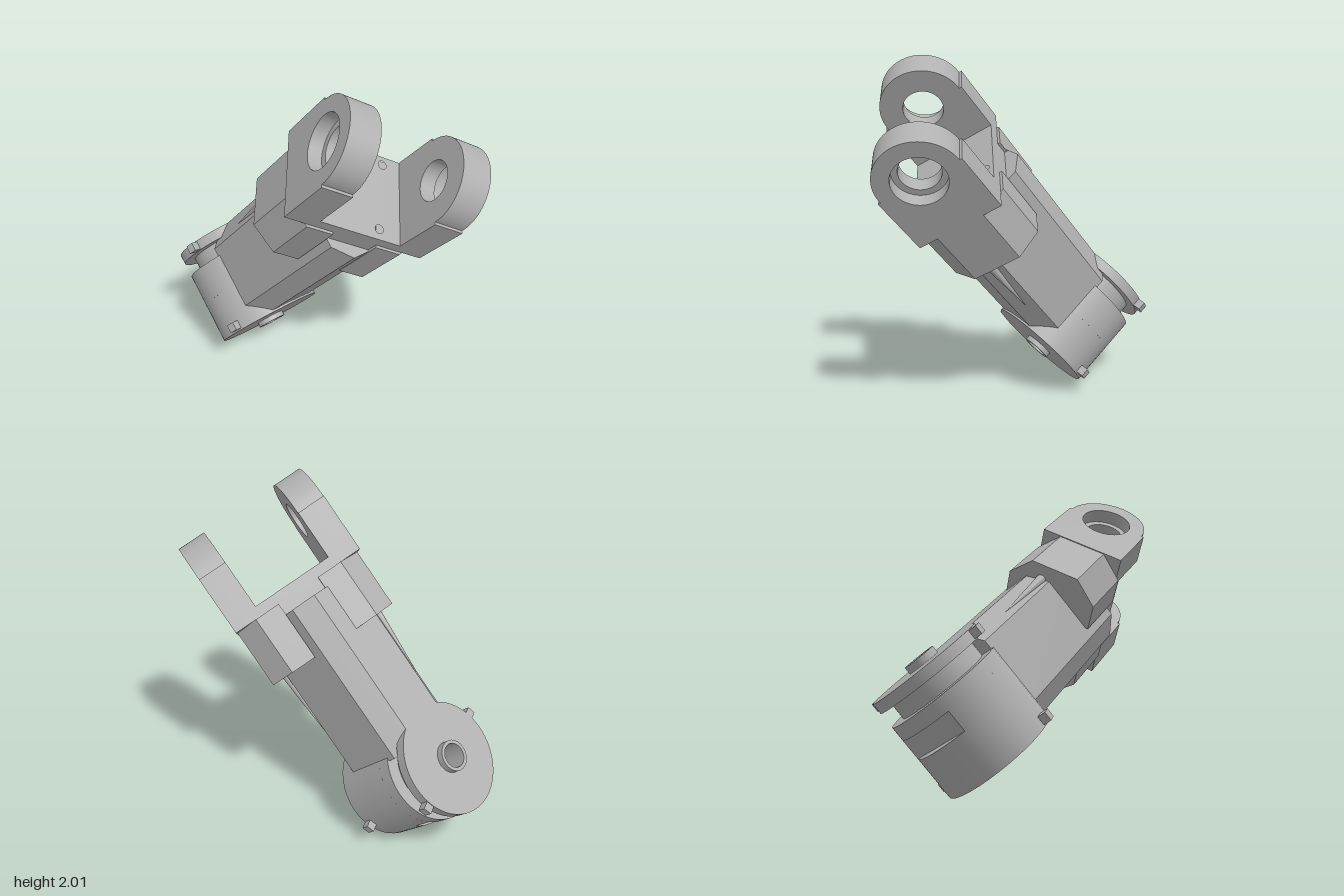
import * as THREE from 'three';
import { toCreasedNormals } from 'three/addons/utils/BufferGeometryUtils.js';

const grey = new THREE.MeshStandardMaterial({ color: 0xb0b0b0 });
grey.name = 'machined grey';

function add(parent, name, geo) {
  const mesh = new THREE.Mesh(toCreasedNormals(geo, 0.5), grey);
  mesh.name = name;
  parent.add(mesh);
  return mesh;
}

function circle(x, y, r) {
  return new THREE.Path().absarc(x, y, r, 0, Math.PI * 2, true);
}

// Vertical prism from an outline of [x, z] points, with optional round holes
function prism(points, y0, y1, holes = []) {
  const shape = new THREE.Shape(points.map(([x, z]) => new THREE.Vector2(x, -z)));
  holes.forEach(([x, z, r]) => shape.holes.push(circle(x, -z, r)));
  return new THREE.ExtrudeGeometry(shape, { depth: y1 - y0, bevelEnabled: false, curveSegments: 16 })
    .rotateX(-Math.PI / 2).translate(0, y0, 0);
}

// One layer of a fork arm, a round-ended plate with a hole, from x0 to x1
function armPlate(x0, x1, hole) {
  const top = 1.58, r = 0.235, half = 0.25, base = 1.23;
  const shape = new THREE.Shape();
  shape.moveTo(-half, base);
  shape.lineTo(half, base);
  shape.lineTo(half, top);
  shape.lineTo(r, top);
  shape.absarc(0, top, r, 0, Math.PI, false);
  shape.lineTo(-half, top);
  shape.closePath();
  shape.holes.push(circle(0, top, hole));
  return new THREE.ExtrudeGeometry(shape, { depth: x1 - x0, bevelEnabled: false, curveSegments: 32 })
    .rotateY(Math.PI / 2).translate(x0, 0, 0);
}

export function createModel() {
  const model = new THREE.Group();
  model.name = 'armLink';

  // Link frame: y runs along the link, z along the lower joint axis
  const link = new THREE.Group();
  link.name = 'link';
  const yAxis = new THREE.Vector3(0.258, 0.74, 0.621).normalize();
  const xAxis = new THREE.Vector3(0.955, -0.096, -0.283);
  xAxis.addScaledVector(yAxis, -xAxis.dot(yAxis)).normalize();
  const zAxis = new THREE.Vector3().crossVectors(xAxis, yAxis);
  link.quaternion.setFromRotationMatrix(new THREE.Matrix4().makeBasis(xAxis, yAxis, zAxis));
  link.position.set(-0.215, 0.237, -0.2);
  model.add(link);

  // Lower joint: drum, grooves, flange, rear disc and hollow bosses
  const R = 0.32;
  const profile = [
    [0, 0.12], [0.065, 0.12], [0.065, -0.03], [0.085, -0.03], [0.085, 0],
    [R, 0], [R, 0.25], [0.25, 0.25], [0.25, 0.37], [R, 0.37], [R, 0.45],
    [0.25, 0.45], [0.25, 0.54], [R, 0.54], [R, 0.6],
    [0.088, 0.6], [0.088, 0.64], [0.068, 0.64], [0.068, 0.48], [0, 0.48],
  ].map(([r, t]) => new THREE.Vector2(r, t));
  add(link, 'jointDrum', new THREE.LatheGeometry(profile, 64).rotateX(-Math.PI / 2));

  // Drum section with its underside cut away
  const cut = Math.asin(0.25 / R);
  const sector = new THREE.Shape().absarc(0, 0, R, -cut, Math.PI + cut, false);
  add(link, 'notchedDrum', new THREE.ExtrudeGeometry(sector,
    { depth: 0.12, bevelEnabled: false, curveSegments: 48 }).translate(0, 0, -0.37));

  // Stop tabs on the drum and disc rims
  for (const z of [-0.035, -0.57]) {
    for (const angle of [-0.36, Math.PI - 0.3]) {
      const tab = add(link, 'stopTab', new THREE.BoxGeometry(0.06, 0.05, 0.05));
      tab.position.set(Math.cos(angle) * 0.335, Math.sin(angle) * 0.335, z);
      tab.rotation.z = angle;
    }
  }

  // Chamfered beam
  const w = 0.25, c = 0.148, f = -0.012, b = -0.6;
  add(link, 'beam', prism([
    [c, f], [w, f - 0.1], [w, b + 0.1], [c, b],
    [-c, b], [-w, b + 0.1], [-w, f - 0.1], [-c, f],
  ], 0.18, 1.16));

  // Slim tapering ribs on two opposite beam corners
  for (const s of [1, -1]) {
    const rib = add(link, 'rib', new THREE.ConeGeometry(0.03, 0.43, 12).rotateX(Math.PI));
    rib.position.set(s * 0.215, 0.675, -0.3 + s * 0.235);
  }

  // Fork, twisted about the beam axis
  const fork = new THREE.Group();
  fork.name = 'fork';
  fork.position.z = -0.3;
  fork.rotation.y = -0.615;
  link.add(fork);

  add(fork, 'forkBase', prism(
    [[-0.25, -0.25], [0.25, -0.25], [0.25, 0.25], [-0.25, 0.25]], 1.16, 1.29,
    [[0.11, 0.19, 0.025], [0.13, -0.2, 0.025]]));

  for (const s of [1, -1]) {
    // Stepped bore: narrow inside, wide outside
    const [i0, i1] = s > 0 ? [0.24, 0.33] : [-0.33, -0.24];
    const [o0, o1] = s > 0 ? [0.33, 0.41] : [-0.41, -0.33];
    add(fork, 'forkArmInner', armPlate(i0, i1, 0.11));
    add(fork, 'forkArmOuter', armPlate(o0, o1, 0.145));

    // Chamfered shoulder clamping the beam
    add(fork, 'shoulder', prism([
      [0.13, 0.265], [0.28, 0.265], [0.405, 0.14],
      [0.405, -0.14], [0.28, -0.265], [0.13, -0.265],
    ].map(([x, z]) => [x * s, z]), 0.88, 1.23));
  }

  return model;
}
